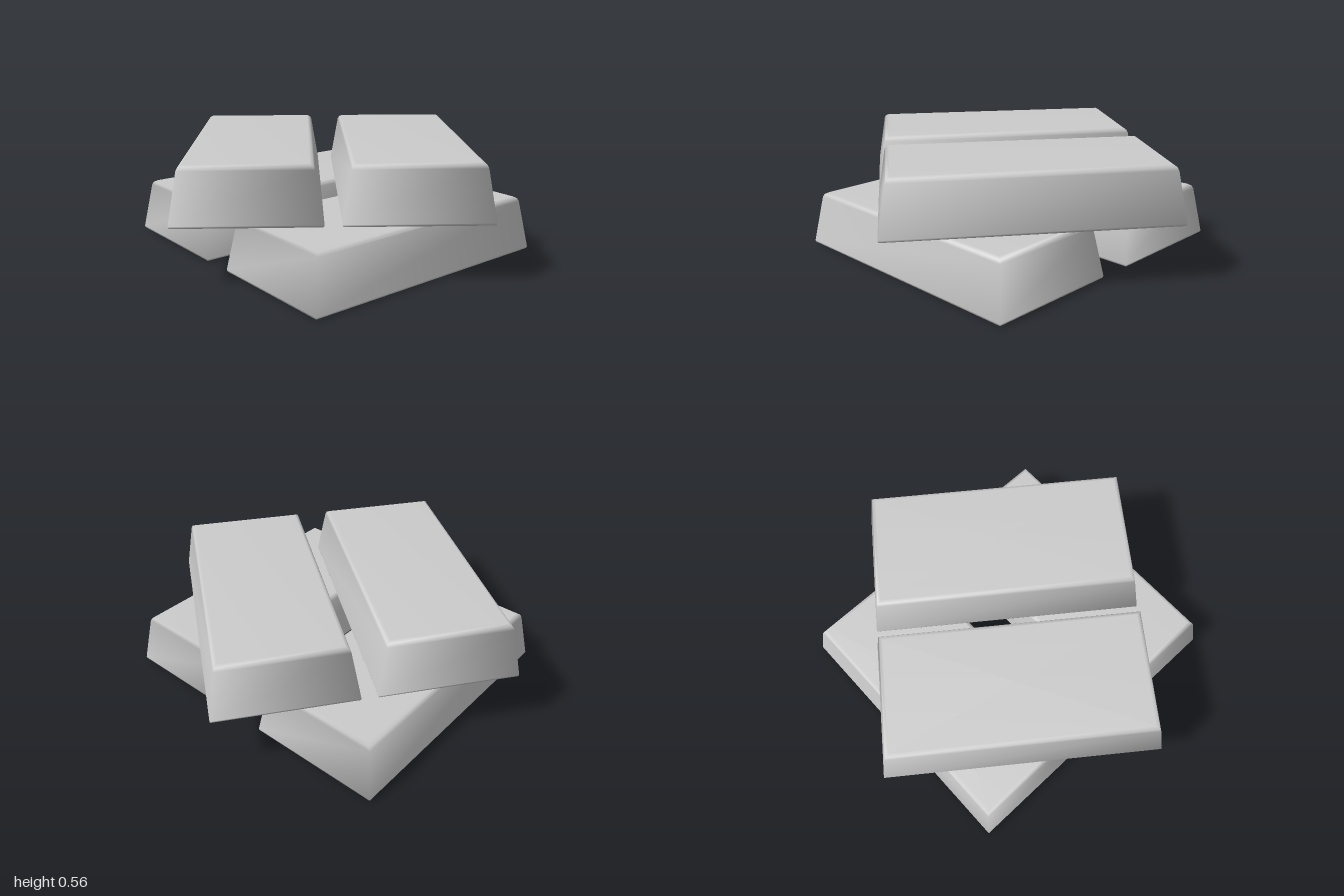
import * as THREE from 'three';

const WIDTH = 0.69, LENGTH = 1.385, HEIGHT = 0.28;

// Tapered bar: stacked rectangular rings [inset, y] with softened rims, smooth normals
function barGeometry() {
  const rings = [[0.012, 0], [0.003, 0.004], [0, 0.014], [0.04, 0.255], [0.047, 0.27], [0.064, HEIGHT]];
  const corners = [[1, 1], [1, -1], [-1, -1], [-1, 1]];
  const pos = [], index = [];
  for (const [inset, y] of rings)
    for (const [sx, sz] of corners)
      pos.push(sx * (WIDTH / 2 - inset), y, sz * (LENGTH / 2 - inset));
  const bottom = pos.length / 3, top = bottom + 1, last = (rings.length - 1) * 4;
  pos.push(0, 0, 0, 0, HEIGHT, 0);
  for (let i = 0; i < 4; i++) {
    const j = (i + 1) % 4;
    for (let r = 0; r < last; r += 4)
      index.push(r + i, r + j, r + 4 + j, r + i, r + 4 + j, r + 4 + i);
    index.push(bottom, j, i, top, last + i, last + j);
  }
  const geo = new THREE.BufferGeometry();
  geo.setAttribute('position', new THREE.Float32BufferAttribute(pos, 3));
  geo.setIndex(index);
  geo.computeVertexNormals();
  return geo;
}

export function createModel() {
  const model = new THREE.Group();
  model.name = 'barStack';
  const geo = barGeometry();
  const material = new THREE.MeshStandardMaterial({ color: 0xcccccc });

  // Two bars side by side per layer; the upper layer is turned
  const layers = [
    { name: 'lowerBar', y: 0, offset: 0.435, angle: 0 },
    { name: 'upperBar', y: 0.283, offset: 0.385, angle: 0.927 },
  ];
  for (const { name, y, offset, angle } of layers) {
    const layer = new THREE.Group();
    layer.name = name + 'Layer';
    layer.position.y = y;
    layer.rotation.y = angle;
    for (const side of [1, -1]) {
      const bar = new THREE.Mesh(geo, material);
      bar.name = name + (side > 0 ? 'Left' : 'Right');
      bar.position.x = side * offset;
      layer.add(bar);
    }
    model.add(layer);
  }
  return model;
}
